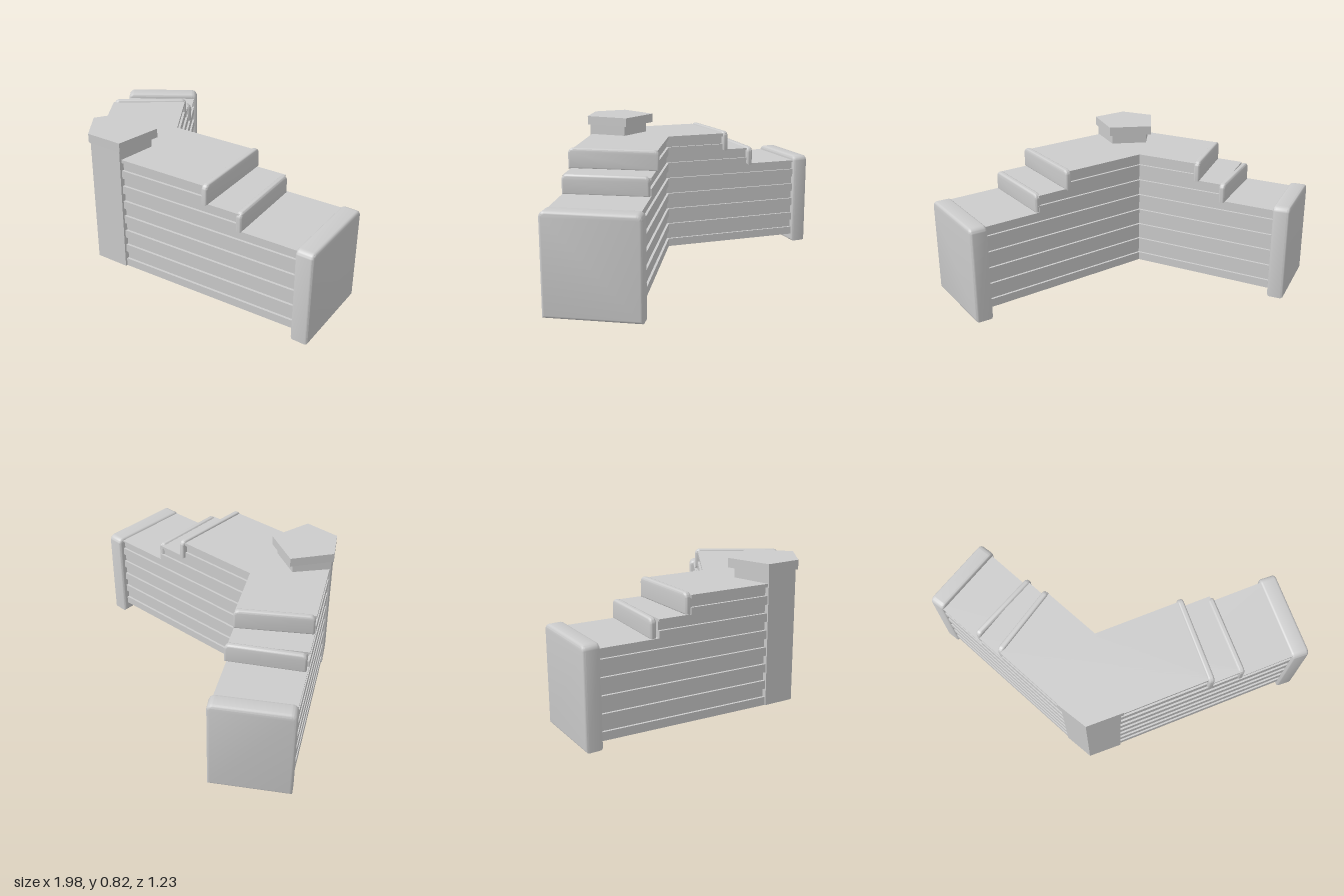
import * as THREE from 'three';
import { toCreasedNormals } from 'three/addons/utils/BufferGeometryUtils.js';

const material = new THREE.MeshStandardMaterial({ color: 0xcccccc });

// Vertical prism from a plan outline of [x, z] points
function prism(name, points, y0, y1) {
  const shape = new THREE.Shape(points.map(([x, z]) => new THREE.Vector2(x, -z)));
  const geo = new THREE.ExtrudeGeometry(shape, { depth: y1 - y0, bevelEnabled: false });
  geo.rotateX(-Math.PI / 2).translate(0, y0, 0);
  const mesh = new THREE.Mesh(geo, material);
  mesh.name = name;
  return mesh;
}

// Upright panel on the plan segment a-b with rounded top corners and soft edges
function panel(name, a, b, y0, y1, thickness, radius, bevel) {
  const dx = b[0] - a[0], dz = b[1] - a[1];
  const w = Math.hypot(dx, dz) / 2 - bevel;
  const h = y1 - y0 - 2 * bevel;
  const s = new THREE.Shape();
  s.moveTo(-w, 0);
  s.lineTo(w, 0);
  s.lineTo(w, h - radius);
  s.absarc(w - radius, h - radius, radius, 0, Math.PI / 2);
  s.lineTo(-w + radius, h);
  s.absarc(-w + radius, h - radius, radius, Math.PI / 2, Math.PI);
  s.closePath();
  const depth = thickness - 2 * bevel;
  const geo = new THREE.ExtrudeGeometry(s, {
    depth, curveSegments: 4, bevelThickness: bevel, bevelSize: bevel, bevelSegments: 3,
  });
  geo.translate(0, bevel, -depth / 2);
  const mesh = new THREE.Mesh(toCreasedNormals(geo, 0.6), material);
  mesh.position.set((a[0] + b[0]) / 2, y0, (a[1] + b[1]) / 2);
  mesh.rotation.y = Math.atan2(-dz, dx);
  mesh.name = name;
  return mesh;
}

// Bent wall plan; each end is [inner x, outer x] measured along the wall faces
function wallPlan(right, left, inset) {
  const nr = [0.184, 0.983], nl = [-0.8, 0.6], mitre = [-0.427, 1.097];
  const shift = (x, z, n, d) => [x + n[0] * d, z + n[1] * d];
  return [
    shift(-0.14, 0.105, mitre, inset),
    shift(right[0], 0.105 - 0.19 * (right[0] + 0.14), nr, inset),
    shift(right[1], 0.545 - 0.187 * right[1], nr, -inset),
    shift(-0.284, 0.598, mitre, -inset),
    shift(left[1], 0.598 + 1.333 * (left[1] + 0.284), nl, -inset),
    shift(left[0], 0.105 + 1.34 * (left[0] + 0.14), nl, inset),
  ];
}

export function createModel() {
  const model = new THREE.Group();

  // Stepped wall: a recessed core with projecting boards on every second course
  const tiers = [
    { y0: 0.055, y1: 0.522, right: [0.88, 0.94], left: [-0.63, -0.95] },
    { y0: 0.522, y1: 0.617, right: [0.52, 0.59], left: [-0.44, -0.75] },
    { y0: 0.617, y1: 0.714, right: [0.34, 0.405], left: [-0.355, -0.645] },
  ];
  const course = 0.0458;
  const wall = new THREE.Group();
  wall.name = 'steppedWall';
  for (const t of tiers) {
    wall.add(prism('wallCore', wallPlan(t.right, t.left, 0.013), t.y0, t.y1));
    for (let i = 0; i < 15; i += 2) {
      const low = Math.max(t.y0, 0.055 + i * course);
      const high = Math.min(t.y1, 0.055 + (i + 1) * course);
      if (high - low > 0.002) wall.add(prism('wallBoard', wallPlan(t.right, t.left, 0), low, high));
    }
  }
  model.add(wall);

  // Thick end panels
  model.add(panel('rightEndPanel', [0.88, -0.112], [0.947, 0.385], 0, 0.533, 0.098, 0.018, 0.015));
  model.add(panel('leftEndPanel', [-0.638, -0.582], [-0.967, -0.298], 0.012, 0.548, 0.092, 0.018, 0.015));

  // Thin rounded trims on the step faces
  const trims = [
    ['upperRightTrim', [0.338, -0.002], [0.405, 0.485], 0.612, 0.725],
    ['lowerRightTrim', [0.52, -0.015], [0.59, 0.44], 0.515, 0.624],
    ['upperLeftTrim', [-0.347, -0.182], [-0.65, 0.105], 0.612, 0.725],
    ['lowerLeftTrim', [-0.433, -0.311], [-0.76, -0.048], 0.515, 0.624],
  ];
  for (const [name, a, b, y0, y1] of trims) model.add(panel(name, a, b, y0, y1, 0.034, 0.018, 0.012));

  // Five-sided corner post with an overhanging cap
  const post = new THREE.Group();
  post.name = 'cornerPost';
  post.add(prism('postShaft', [[-0.275, 0.29], [-0.085, 0.355], [-0.095, 0.573], [-0.28, 0.603], [-0.385, 0.473]], 0.055, 0.77));
  post.add(prism('postCap', [[-0.29, 0.256], [-0.06, 0.335], [-0.082, 0.582], [-0.28, 0.615], [-0.402, 0.472]], 0.77, 0.82));
  model.add(post);

  return model;
}
